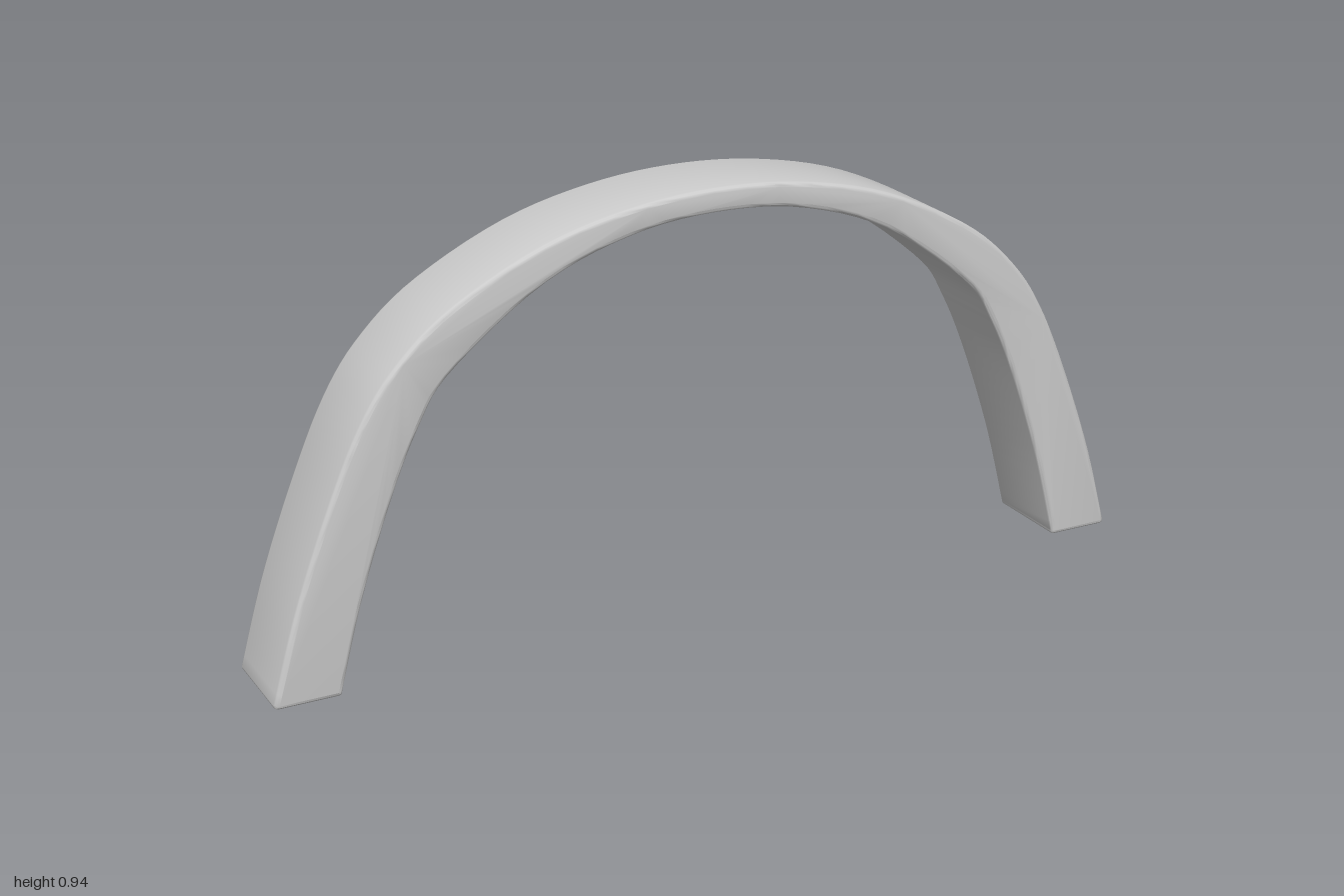
import * as THREE from 'three';
import { mergeVertices, toCreasedNormals } from 'three/addons/utils/BufferGeometryUtils.js';

const DEPTH = 0.212;
const BEVEL = 0.01;

// Half profiles from the foot to the crown, on the +x side
const OUTER = [[1, 0.01], [0.945, 0.2], [0.87, 0.4], [0.797, 0.56], [0.72, 0.67], [0.6, 0.773], [0.4, 0.873], [0.2, 0.924]];
const INNER = [[0.856, 0.01], [0.805, 0.2], [0.735, 0.4], [0.67, 0.545], [0.6, 0.645], [0.4, 0.793], [0.2, 0.867]];

// Mirrors a half profile into a full run from +x to -x
function fullRun(half, crown) {
  const right = half.map(([x, y]) => new THREE.Vector2(x, y));
  const left = half.map(([x, y]) => new THREE.Vector2(-x, y)).reverse();
  return [...right, new THREE.Vector2(0, crown), ...left];
}

export function createModel() {
  const group = new THREE.Group();
  group.name = 'archModel';

  // Arch outline: outer curve, left foot, inner curve back, right foot
  const outer = fullRun(OUTER, 0.94);
  const inner = fullRun(INNER, 0.888).reverse();
  const shape = new THREE.Shape();
  shape.moveTo(outer[0].x, outer[0].y);
  shape.splineThru(outer.slice(1));
  shape.quadraticCurveTo(-1, 0, -0.99, 0);
  shape.lineTo(-0.866, 0);
  shape.quadraticCurveTo(-0.856, 0, inner[0].x, inner[0].y);
  shape.splineThru(inner.slice(1));
  shape.quadraticCurveTo(0.856, 0, 0.866, 0);
  shape.lineTo(0.99, 0);
  shape.quadraticCurveTo(1, 0, 1, 0.01);

  // Band with softly rounded edges
  let geometry = new THREE.ExtrudeGeometry(shape, {
    depth: DEPTH - 2 * BEVEL,
    curveSegments: 5,
    bevelEnabled: true,
    bevelThickness: BEVEL,
    bevelSize: BEVEL,
    bevelOffset: -BEVEL,
    bevelSegments: 3,
  });
  geometry.translate(0, 0, BEVEL - DEPTH / 2);
  geometry.deleteAttribute('uv');
  geometry.deleteAttribute('normal');
  geometry = toCreasedNormals(mergeVertices(geometry, 1e-5), 0.6);

  const arch = new THREE.Mesh(geometry, new THREE.MeshStandardMaterial({ color: 0xcccccc }));
  arch.name = 'archBand';
  group.add(arch);
  return group;
}
